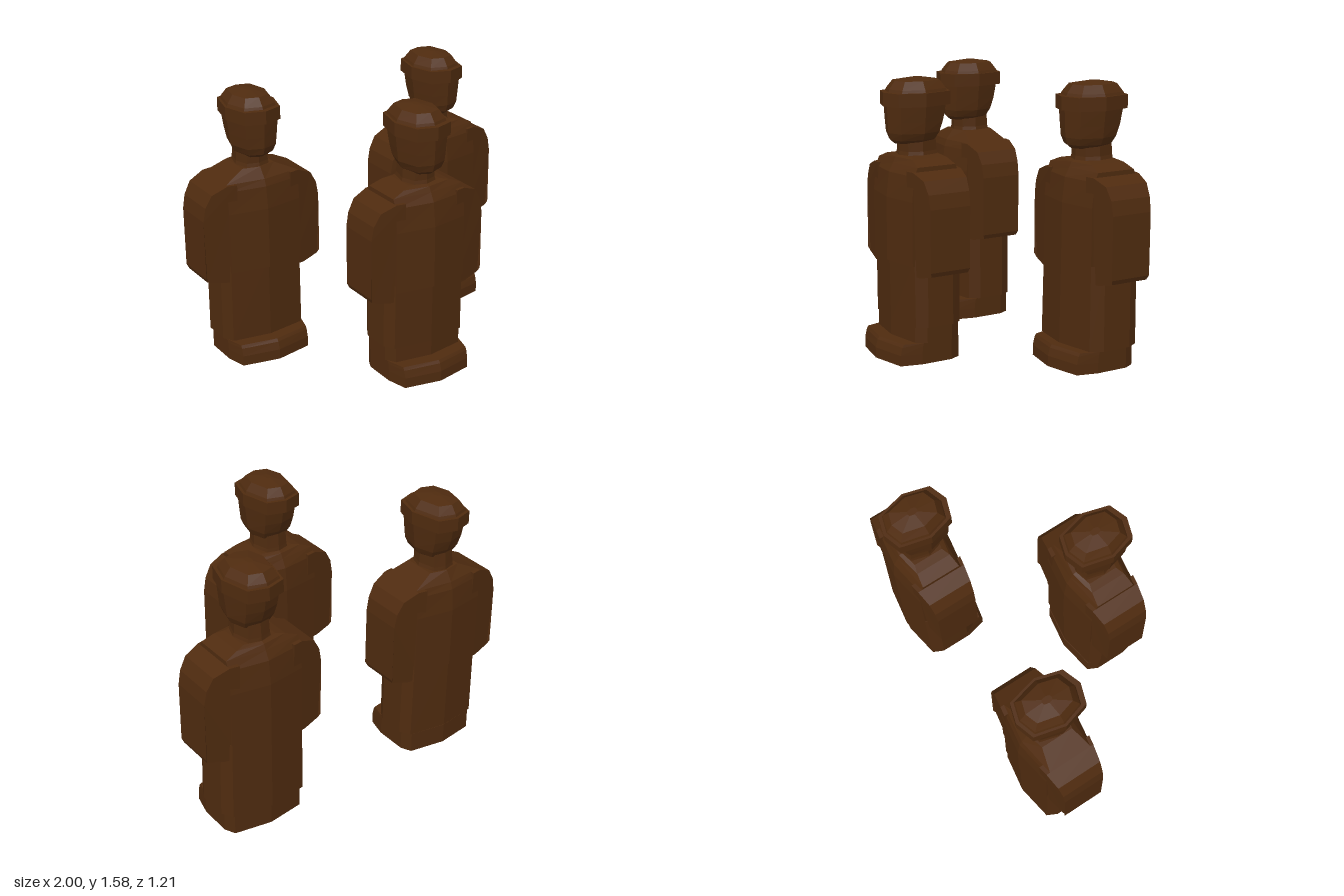
import * as THREE from 'three';

const material = new THREE.MeshStandardMaterial({ color: 0x4f2b0f, flatShading: true });

// Half cross-sections [x share, z share], from front centre round to back centre
const SKIRT = [[0, 1], [0.865, 0.8], [1, 0.45], [1, -0.45], [0.865, -0.8], [0, -1]];
const SLAB = [[0, 1], [1, 0.8], [1, -0.8], [0, -1]];
const BOOT = [[0, 1], [0.88, 0.84], [1, 0.4], [1, -0.45], [0.88, -0.8], [0, -1]];
const OVAL = [[0, 1], [0.72, 0.82], [1, 0.1], [0.72, -0.82], [0, -1]];

// Closed skin through layers [y, half width, front depth, back depth], bottom to top
function loft(name, half, layers) {
  const ring = [...half, ...half.slice(1, -1).reverse().map(([x, z]) => [-x, z])];
  const n = ring.length, pos = [], index = [];
  for (const [y, w, front, back] of layers)
    for (const [x, z] of ring) pos.push(x * w, y, z * (z > 0 ? front : back));
  for (let l = 0; l < layers.length - 1; l++)
    for (let i = 0; i < n; i++) {
      const a = l * n + i, b = l * n + (i + 1) % n;
      index.push(a, b, b + n, a, b + n, a + n);
    }
  // Caps fan out from a centre point
  const last = (layers.length - 1) * n, c = layers.length * n;
  pos.push(0, layers[0][0], 0, 0, layers[layers.length - 1][0], 0);
  for (let i = 0; i < n; i++) {
    const j = (i + 1) % n;
    index.push(c, j, i, c + 1, last + i, last + j);
  }
  const geo = new THREE.BufferGeometry();
  geo.setAttribute('position', new THREE.Float32BufferAttribute(pos, 3));
  geo.setIndex(index);
  const flat = geo.toNonIndexed();
  flat.computeVertexNormals();
  const mesh = new THREE.Mesh(flat, material);
  mesh.name = name;
  return mesh;
}

// Front outline of an arm, extruded and thinned toward the outside
function arm(side, cut) {
  const pts = [[0.17, 0.5], [0.26, 0.5], [0.36, 0.525], [0.37, 0.55], [0.37, 0.9],
    [0.355, 0.98], [0.315, 1.05], [0.225, cut], [0.17, cut]];
  const shape = new THREE.Shape(pts.map(([x, y]) => new THREE.Vector2(x * side, y)));
  const geo = new THREE.ExtrudeGeometry(shape, { depth: 1, bevelEnabled: false });
  const p = geo.attributes.position;
  for (let i = 0; i < p.count; i++) {
    const depth = 0.155 - (Math.abs(p.getX(i)) - 0.2) * 0.18;
    // the underside narrows into a shallow wedge
    const low = p.getY(i) < 0.54 ? 0.9 : 1;
    p.setZ(i, (p.getZ(i) - 0.5) * 2 * depth * low);
  }
  geo.computeVertexNormals();
  const mesh = new THREE.Mesh(geo, material);
  mesh.name = side > 0 ? 'leftArm' : 'rightArm';
  return mesh;
}

// One standing figure; style is 'cape', 'jacket' or 'longCoat'
function figure(name, style, x, z) {
  const g = new THREE.Group();
  g.name = name;
  g.position.set(x, 0, z);

  // Boots with a toe that juts forward
  g.add(loft('boots', BOOT, [[0, 0.245, 0.275, 0.175], [0.06, 0.245, 0.275, 0.175],
    [0.105, 0.245, 0.262, 0.175], [0.122, 0.245, 0.25, 0.175]]));

  // Lower garment
  if (style === 'longCoat') {
    g.add(loft('coatSkirt', SKIRT, [[0.125, 0.267, 0.2, 0.188], [0.6, 0.26, 0.195, 0.188]]));
  } else {
    g.add(loft('legs', SKIRT, [[0.12, 0.25, 0.175, 0.17], [0.22, 0.25, 0.175, 0.17]]));
    g.add(loft('skirt', SKIRT, [[style === 'cape' ? 0.125 : 0.21, 0.262, 0.175, 0.176],
      [0.6, 0.258, 0.18, 0.18]]));
  }

  // Torso; the cape slopes from neck to arm without a step
  const hem = [[0.56, 0.225, 0.195, 0.188], [0.92, 0.225, 0.195, 0.188]];
  g.add(loft('torso', SLAB, style === 'cape'
    ? [...hem, [1.05, 0.225, 0.18, 0.175], [1.09, 0.225, 0.165, 0.16], [1.15, 0.1, 0.12, 0.12]]
    : [...hem, [1.06, 0.225, 0.178, 0.172], [1.11, 0.225, 0.15, 0.145], [1.14, 0.15, 0.135, 0.13],
      [1.15, 0.1, 0.11, 0.11]]));
  for (const side of [-1, 1]) g.add(arm(side, style === 'cape' ? 1.09 : 1.085));

  // Neck and head
  g.add(loft('neck', OVAL, [[1.12, 0.105, 0.12, 0.115], [1.17, 0.092, 0.11, 0.108],
    [1.27, 0.088, 0.11, 0.1]]));
  g.add(loft('head', OVAL, [[1.215, 0.075, 0.14, 0.06], [1.235, 0.105, 0.165, 0.09],
    [1.275, 0.125, 0.178, 0.115], [1.34, 0.133, 0.182, 0.14], [1.44, 0.145, 0.186, 0.158]]));

  // Cap with a raised band
  g.add(loft('capBand', OVAL, [[1.425, 0.152, 0.208, 0.188], [1.5, 0.152, 0.208, 0.188]]));
  g.add(loft('capCrown', OVAL, [[1.49, 0.142, 0.18, 0.172], [1.515, 0.132, 0.17, 0.163],
    [1.56, 0.1, 0.135, 0.13], [1.576, 0.02, 0.03, 0.03]]));
  return g;
}

export function createModel() {
  const model = new THREE.Group();
  model.name = 'threeStandingFigures';
  model.add(
    figure('capeFigure', 'cape', -0.63, -0.395),
    figure('jacketFigure', 'jacket', 0, 0.33),
    figure('longCoatFigure', 'longCoat', 0.63, -0.415)
  );
  return model;
}
